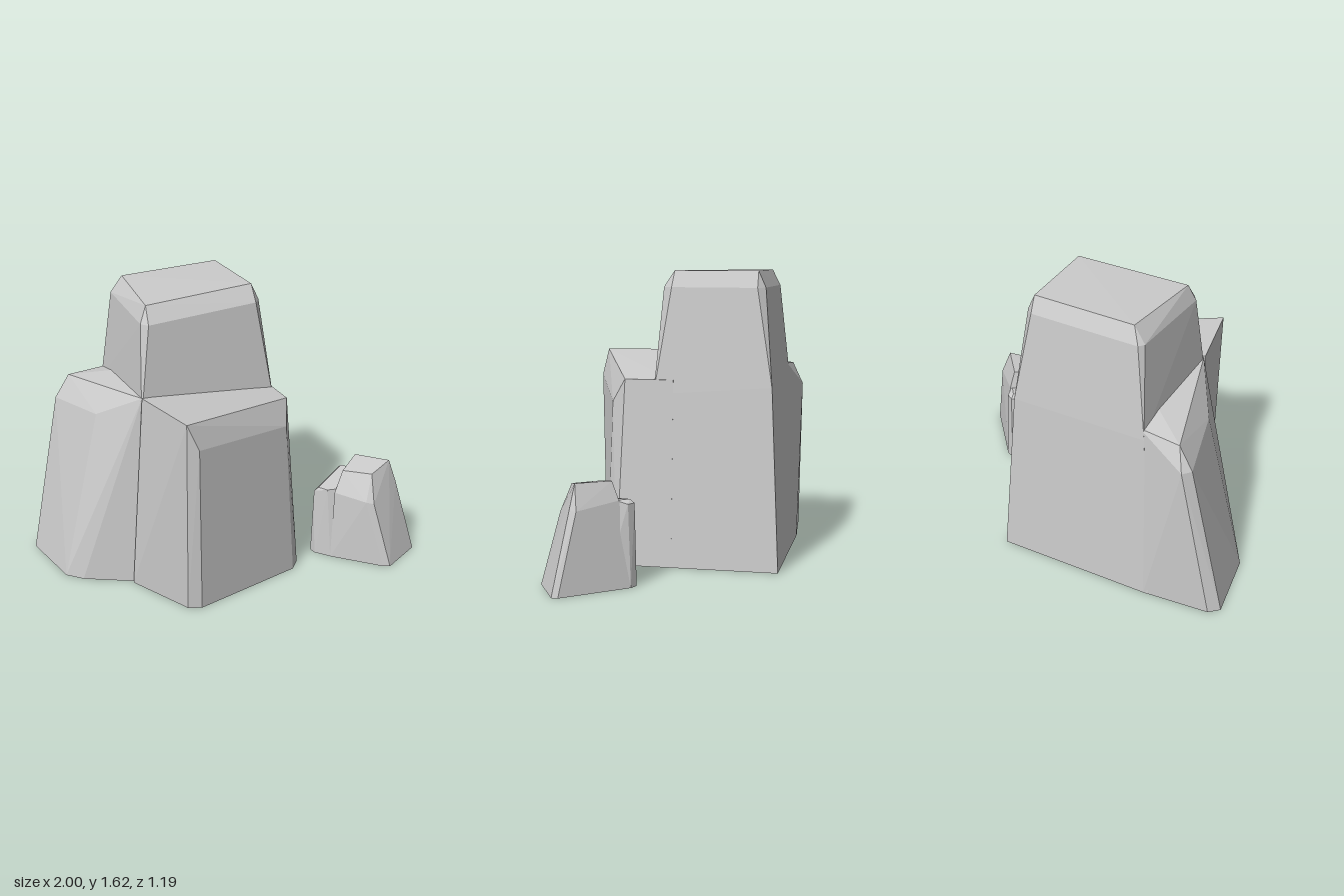
import * as THREE from 'three';
import { ConvexGeometry } from 'three/addons/geometries/ConvexGeometry.js';

const material = new THREE.MeshStandardMaterial({ color: 0xcccccc, flatShading: true });

// A faceted stone is the convex hull of its corner points [x, y, z].
function stone(name, corners) {
  const geometry = new ConvexGeometry(corners.map((c) => new THREE.Vector3(...c)));
  const mesh = new THREE.Mesh(geometry, material);
  mesh.name = name;
  return mesh;
}

// Four corners of a rectangle at height y; a cut splits each corner in two.
function ring(y, x0, x1, z0, z1, cut = 0) {
  const points = [];
  for (const [x, sx] of [[x0, 1], [x1, -1]]) {
    for (const [z, sz] of [[z0, 1], [z1, -1]]) {
      points.push([x + sx * cut, y, z]);
      if (cut) points.push([x, y, z + sz * cut]);
    }
  }
  return points;
}

export function createModel() {
  const group = new THREE.Group();
  group.name = 'rockFormation';

  // Tall central block: bevelled cap, chamfers running out into sharp corners
  group.add(stone('tallBlock', [
    [-0.42, 1.61, -0.45], [0.15, 1.62, -0.45], [0.15, 1.62, 0.01], [-0.48, 1.6, 0.04],
    [-0.46, 1.52, -0.49], [-0.485, 1.52, -0.46],
    [0.15, 1.53, -0.49], [0.19, 1.53, -0.45],
    [0.19, 1.53, 0.02], [0.15, 1.53, 0.07],
    [-0.49, 1.51, 0.1], [-0.52, 1.51, 0.06],
    [0.243, 1.0, -0.54], [0.247, 0.95, 0.11], [-0.56, 1.0, 0.14], [-0.53, 1.0, -0.54],
    ...ring(0, -0.6, 0.31, -0.59, 0.13),
  ]));

  // Front block: sloping top, bevelled front edge, chamfered front corners
  group.add(stone('frontBlock', [
    [-0.555, 1.125, 0.14], [-0.48, 1.125, 0.55], [0.243, 1.03, 0.27], [0.243, 1.03, 0.0],
    [-0.42, 0.98, 0.572], [0.2, 0.9, 0.35],
    [-0.63, 0, 0.12], [-0.46, 0, 0.49], [-0.39, 0, 0.52],
    [0.25, 0, 0.375], [0.31, 0, 0.31], [0.31, 0, 0.0],
  ]));

  // Side block leaning against the tall one
  group.add(stone('sideBlock', [
    [-0.5, 1.1, -0.35], [-0.55, 1.12, 0.13], [-0.73, 1.04, -0.54], [-0.61, 1.07, -0.06],
    [-0.5, 1.06, -0.53], [-0.77, 0.91, -0.595], [-0.81, 0.91, -0.55], [-0.715, 0.95, -0.145],
    [-1, 0, -0.51], [-0.945, 0, -0.56], [-0.945, 0, -0.12], [-0.87, 0, -0.04],
    [-0.6, 0, 0.12], [-0.4, 0, 0.1], [-0.57, 0, -0.59],
  ]));

  // Small separate rock: main body and a lower step behind it
  const small = new THREE.Group();
  small.name = 'smallRock';
  small.add(stone('smallRockBody', [
    [0.59, 0.53, 0.32], [0.73, 0.56, 0.22], [0.86, 0.565, 0.38], [0.71, 0.535, 0.44],
    [0.53, 0.41, 0.34], [0.74, 0.46, 0.18], [0.91, 0.43, 0.36], [0.9, 0.43, 0.4],
    [0.65, 0.39, 0.49], [0.69, 0.38, 0.51],
    [0.51, 0, 0.35], [0.73, 0, 0.58], [0.765, 0, 0.597],
    [1, 0, 0.47], [1, 0, 0.435], [0.74, 0, 0.12],
  ]));
  small.add(stone('smallRockStep', [
    [0.475, 0.415, 0.25], [0.5, 0.42, 0.31], [0.69, 0.46, 0.135], [0.74, 0.46, 0.2],
    [0.6, 0.43, 0.35], [0.455, 0.39, 0.235], [0.69, 0.44, 0.11], [0.73, 0.44, 0.135],
    [0.445, 0, 0.23], [0.45, 0, 0.27], [0.51, 0, 0.35],
    [0.695, 0, 0.1], [0.74, 0, 0.12], [0.8, 0, 0.25],
  ]));
  group.add(small);

  return group;
}
